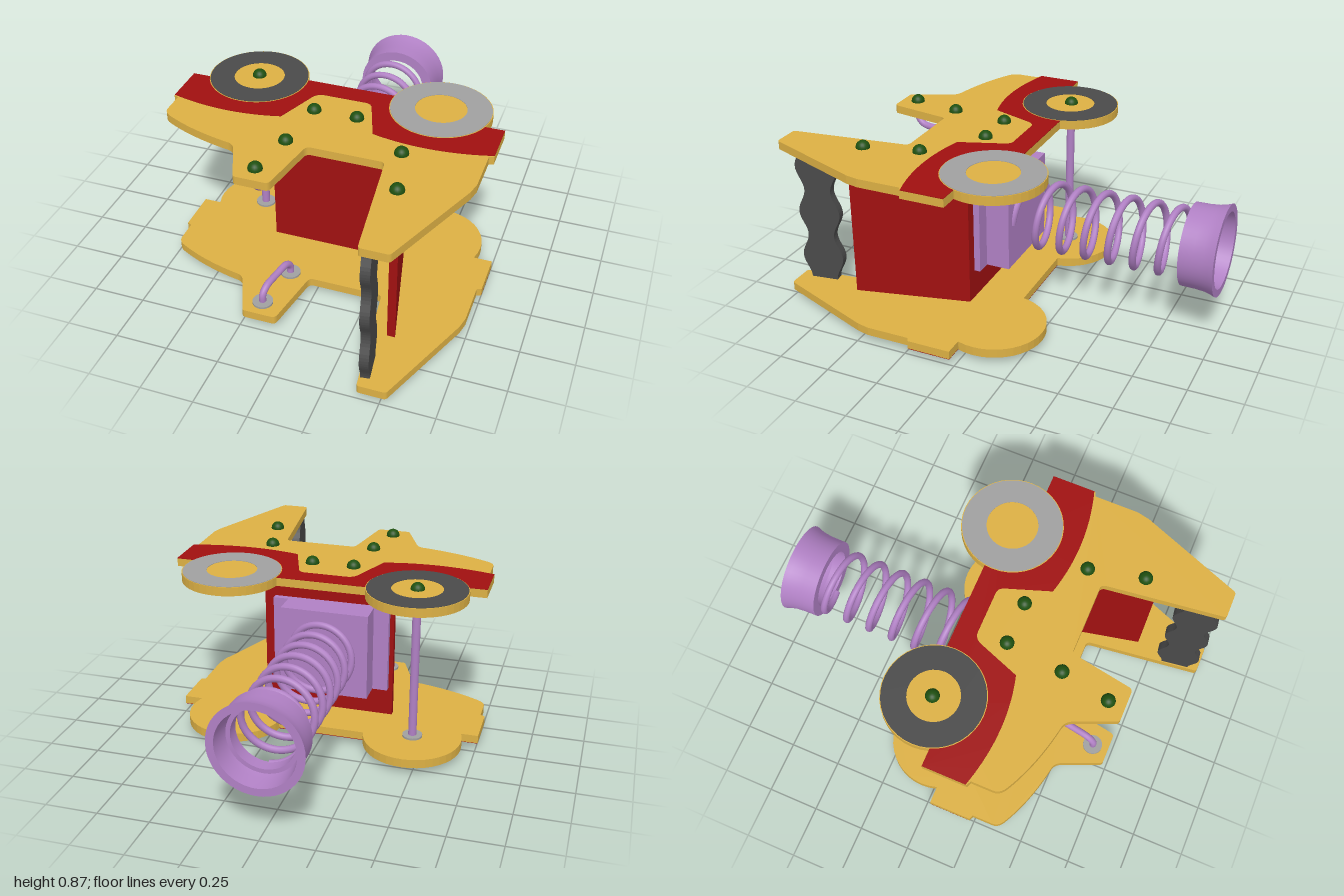
import * as THREE from 'three';

const MID = 0.4325; // mirror height between the two plates
const INNER = 0.357; // distance from MID to a plate's inner face
const THICK = 0.04;

const mat = (color, opts = {}) => new THREE.MeshStandardMaterial({ color, ...opts });
const yellow = mat(0xdcb044), red = mat(0xa01010), purple = mat(0xb080c4);
const purpleOpen = mat(0xb080c4, { side: THREE.DoubleSide });
const dark = mat(0x4a4a4a), grey = mat(0xa0a0a0), green = mat(0x1f5010);

export function createModel() {
  const model = new THREE.Group();
  model.name = 'model';

  const add = (name, geometry, material, x = 0, y = 0, z = 0) => {
    const mesh = new THREE.Mesh(geometry, material);
    mesh.name = name;
    mesh.position.set(x, y, z);
    model.add(mesh);
    return mesh;
  };

  // Flat slab from a shape drawn in x/z; grows outward from the mid height
  const slab = (name, shape, material, from, depth, side) => {
    const g = new THREE.ExtrudeGeometry(shape, { depth, bevelEnabled: false, curveSegments: 20 });
    g.rotateX(Math.PI / 2);
    return add(name, g, material, 0, MID + side * from + (side > 0 ? depth : 0), 0);
  };

  // Plate outline with two front prongs
  const plate = new THREE.Shape();
  plate.moveTo(-0.4, -0.1);
  plate.lineTo(0.4, -0.1);
  plate.lineTo(0.45, 0.02);
  plate.lineTo(0.757, 0.02);
  plate.lineTo(0.757, 0.23);
  plate.lineTo(0.735, 0.24);
  plate.lineTo(0.735, 0.45);
  plate.lineTo(0.722, 0.51);
  plate.lineTo(0.535, 0.985);
  plate.quadraticCurveTo(0.53, 1, 0.515, 1);
  plate.lineTo(0.41, 1);
  plate.quadraticCurveTo(0.398, 1, 0.396, 0.985);
  plate.lineTo(0.33, 0.45);
  plate.quadraticCurveTo(0.327, 0.425, 0.305, 0.425);
  plate.lineTo(-0.01, 0.425);
  plate.quadraticCurveTo(-0.03, 0.425, -0.035, 0.45);
  plate.lineTo(-0.08, 0.71);
  plate.quadraticCurveTo(-0.085, 0.73, -0.1, 0.73);
  plate.lineTo(-0.23, 0.73);
  plate.quadraticCurveTo(-0.245, 0.73, -0.25, 0.715);
  plate.lineTo(-0.32, 0.55);
  plate.quadraticCurveTo(-0.335, 0.51, -0.37, 0.505);
  plate.quadraticCurveTo(-0.56, 0.47, -0.7, 0.395);
  plate.quadraticCurveTo(-0.738, 0.375, -0.738, 0.34);
  plate.lineTo(-0.738, 0.24);
  plate.lineTo(-0.76, 0.23);
  plate.lineTo(-0.76, 0.02);
  plate.lineTo(-0.45, 0.02);

  // Red band along the back edge
  const band = new THREE.Shape();
  band.moveTo(-0.4, -0.1);
  band.lineTo(0.4, -0.1);
  band.lineTo(0.45, 0.02);
  band.lineTo(0.757, 0.02);
  band.lineTo(0.757, 0.225);
  band.quadraticCurveTo(0.48, 0.305, 0.21, 0.235);
  band.lineTo(0.14, 0.035);
  band.quadraticCurveTo(0.13, 0, 0.1, 0);
  band.lineTo(-0.1, 0);
  band.quadraticCurveTo(-0.135, 0, -0.15, 0.035);
  band.lineTo(-0.225, 0.235);
  band.quadraticCurveTo(-0.48, 0.305, -0.76, 0.225);
  band.lineTo(-0.76, 0.02);
  band.lineTo(-0.45, 0.02);

  const disc = (x, r) => new THREE.Shape().absarc(x, -0.06, r, 0, Math.PI * 2);
  const bolts = [[-0.455, -0.065], [-0.1, 0.14], [0.105, 0.14], [-0.13, 0.415],
    [-0.175, 0.65], [0.375, 0.34], [0.435, 0.6]];
  const boltGeo = new THREE.SphereGeometry(0.033, 20, 14);
  const flangeGeo = new THREE.CylinderGeometry(0.048, 0.048, 0.01, 24);

  for (const side of [-1, 1]) {
    const tag = side > 0 ? 'upper' : 'lower';
    slab(tag + 'Plate', plate, yellow, INNER, THICK, side);
    slab(tag + 'Band', band, red, INNER + THICK - 0.001, 0.003, side);

    // Round lobes with a dark ring and a light ring
    for (const [x, ringMat] of [[-0.453, dark], [0.443, grey]]) {
      slab(tag + 'Lobe', disc(x, 0.238), yellow, INNER, THICK + 0.003, side);
      const ring = disc(x, 0.234);
      ring.holes.push(new THREE.Path().absarc(x, -0.06, 0.12, 0, Math.PI * 2));
      slab(tag + 'Ring', ring, ringMat, INNER + THICK, 0.005, side);
    }

    for (const [x, z] of bolts) add(tag + 'Bolt', boltGeo, green, x, MID + side * 0.3995, z);

    // Small loop handle on the inner face, with washers
    const y = (d) => MID + side * (INNER - d);
    const loop = new THREE.CatmullRomCurve3([
      [-0.13, 0, 0.415], [-0.131, 0.045, 0.417], [-0.138, 0.074, 0.45], [-0.152, 0.078, 0.532],
      [-0.167, 0.074, 0.615], [-0.174, 0.045, 0.648], [-0.175, 0, 0.65],
    ].map(([x, d, z]) => new THREE.Vector3(x, y(d), z)));
    add(tag + 'Handle', new THREE.TubeGeometry(loop, 40, 0.017, 12), purple);
    for (const i of [0, 3, 4]) {
      add(tag + 'Washer', flangeGeo, grey, bolts[i][0], y(0.005), bolts[i][1]);
    }
  }

  // Upright pole between the lobes
  add('pole', new THREE.CylinderGeometry(0.02, 0.02, INNER * 2, 20), purple, -0.455, MID, -0.065);

  // Back wall and slanted side wall
  add('backWall', new THREE.BoxGeometry(0.65, INNER * 2, 0.03), red, 0.015, MID, 0.135);
  const sideWall = new THREE.Shape([[0.312, 0.12], [0.342, 0.12], [0.468, 0.67], [0.43, 0.67]]
    .map(([x, z]) => new THREE.Vector2(x, z)));
  slab('sideWall', sideWall, red, -INNER, INNER * 2, 1);

  // Wavy grip between the long prongs
  const gripHalf = (v) => 0.086 - 0.019 * Math.cos((v + INNER) / 0.238 * Math.PI * 2);
  const edge = [];
  for (let i = 0; i <= 48; i++) {
    const v = -INNER + (i / 48) * INNER * 2;
    edge.push(new THREE.Vector2(gripHalf(v), v));
  }
  const gripShape = new THREE.Shape([...edge,
    ...edge.slice().reverse().map((p) => new THREE.Vector2(-p.x, p.y))]);
  const gripGeo = new THREE.ExtrudeGeometry(gripShape, { depth: 0.042, bevelEnabled: false });
  gripGeo.translate(0, 0, -0.021);
  add('grip', gripGeo, dark, 0.41, MID, 0.88).rotation.y = Math.PI / 2 + 0.14;

  // Stepped mount for the spring
  add('mountFlange', new THREE.BoxGeometry(0.58, 0.43, 0.03), purple, 0, MID + 0.003, 0.105);
  add('mountBlock', new THREE.BoxGeometry(0.43, 0.43, 0.13), purple, 0, MID + 0.003, 0.04);

  // Coil spring
  class Helix extends THREE.Curve {
    getPoint(t, target = new THREE.Vector3()) {
      const a = t * 6.75 * Math.PI * 2;
      return target.set(0.157 * Math.cos(a), 0.157 * Math.sin(a), -0.02 - 0.81 * t);
    }
  }
  add('spring', new THREE.TubeGeometry(new Helix(), 320, 0.017, 10), purple, 0.005, MID + 0.003, 0);

  // Flared open cup at the spring's end
  const cup = [[0.145, 0.835], [0.195, 0.835], [0.195, 0.835], [0.196, 0.9], [0.2, 0.945], [0.207, 0.975],
    [0.216, 1], [0.216, 1], [0.18, 1], [0.18, 1], [0.172, 0.93], [0.165, 0.9], [0.165, 0.9],
    [0.145, 0.9], [0.145, 0.9], [0.145, 0.835]].map(([r, d]) => new THREE.Vector2(r, d));
  const cupGeo = new THREE.LatheGeometry(cup, 48);
  cupGeo.rotateX(-Math.PI / 2);
  add('cup', cupGeo, purpleOpen, 0.005, MID + 0.003, 0);

  return model;
}
